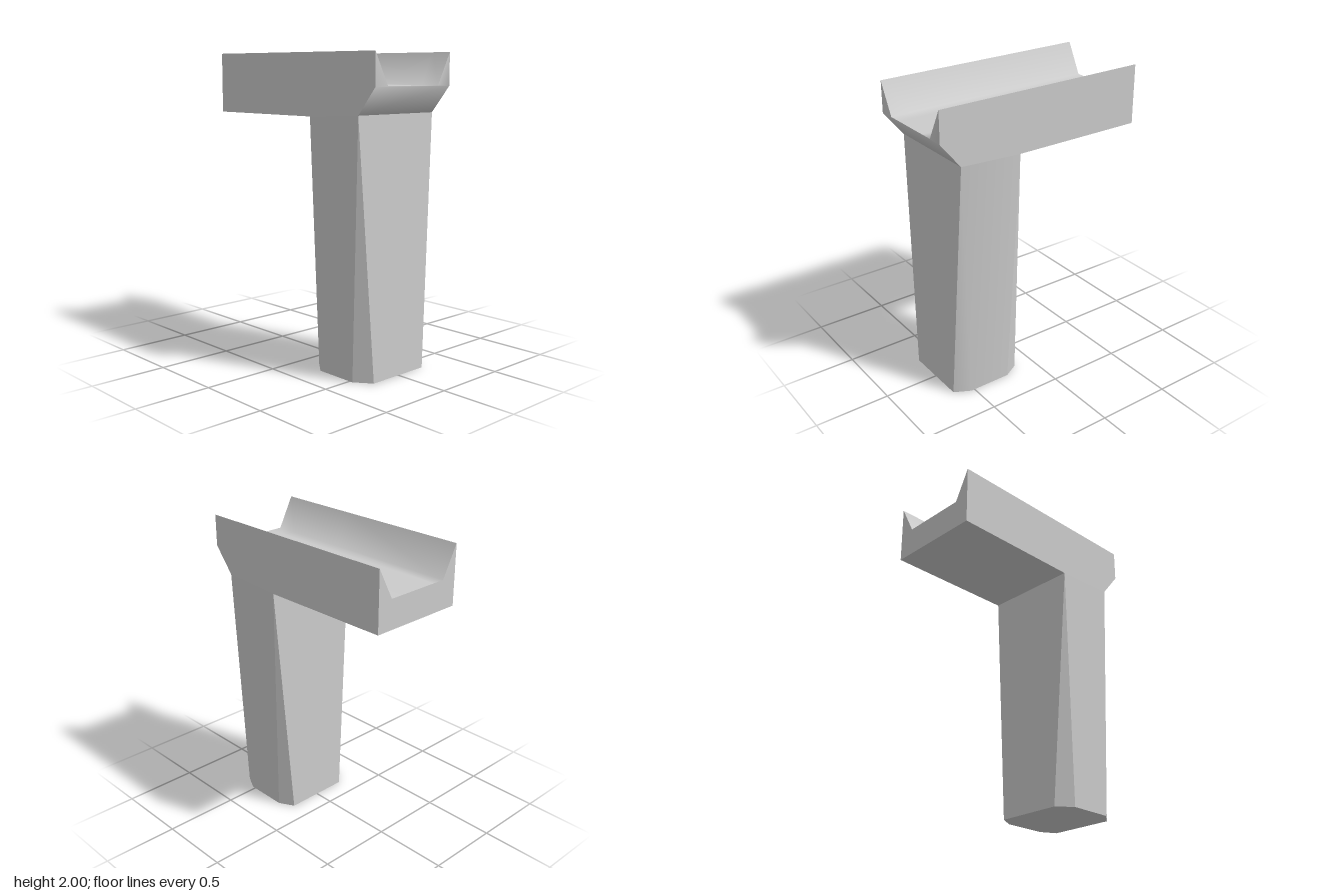
import * as THREE from 'three';
import { toCreasedNormals } from 'three/addons/utils/BufferGeometryUtils.js';

// Solid through matching rings of [x, y, z] points; flat(p) projects a ring to 2D,
// counter-clockwise when looking back along the loft direction.
function loft(rings, flat, crease) {
  const n = rings[0].length;
  const index = [];
  for (let i = 0; i < rings.length - 1; i++) {
    for (let j = 0; j < n; j++) {
      const a = i * n + j, b = i * n + (j + 1) % n;
      index.push(a, b, b + n, a, b + n, a + n);
    }
  }
  // end caps, facing outwards
  const cap = (r, outward) => {
    const pts = rings[r].map((p) => new THREE.Vector2(...flat(p)));
    for (const t of THREE.ShapeUtils.triangulateShape(pts.slice(), [])) {
      const area = THREE.ShapeUtils.area(t.map((k) => pts[k]));
      const tri = t.map((k) => r * n + k);
      index.push(...(area * outward > 0 ? tri : tri.reverse()));
    }
  };
  cap(0, -1);
  cap(rings.length - 1, 1);

  const g = new THREE.BufferGeometry();
  g.setAttribute('position', new THREE.Float32BufferAttribute(rings.flat(2), 3));
  g.setIndex(index);
  return toCreasedNormals(g, crease);
}

export function createModel() {
  const model = new THREE.Group();
  const material = new THREE.MeshStandardMaterial({ color: 0xcccccc });
  const add = (name, geometry) => {
    const mesh = new THREE.Mesh(geometry, material);
    mesh.name = name;
    model.add(mesh);
  };

  // Channelled beam, its underside rising to a slanted end at +x
  const W = 0.325;
  const section = (x, bottom) => [
    [W, bottom], [-W, bottom], [-W, 2], [-0.22, 1.8],
    [-0.13, 1.8], [0.13, 1.8], [0.22, 1.8], [W, 2],
  ].map(([z, y]) => [x, y, z]);
  add('channelBeam', loft(
    [section(-0.725, 1.61), section(0.17, 1.61), section(0.59, 1.63), section(0.725, 1.795)],
    ([, y, z]) => [-z, y], 1.12));

  // Column: octagonal foot blending into a rectangular top
  const foot = [
    [0.63, 0.22], [0.63, -0.22], [0.525, -0.275], [0.235, -0.275],
    [0.135, -0.22], [0.135, 0.22], [0.235, 0.3], [0.525, 0.3],
  ].map(([x, z]) => [x, 0, z]);
  const head = foot.map(([x, , z]) => (
    x > 0.38 ? [0.59, 1.63, Math.sign(z) * W] : [0.17, 1.61, Math.sign(z) * W]));
  add('column', loft([foot, head], ([x, , z]) => [x, -z], 0.5));

  return model;
}
